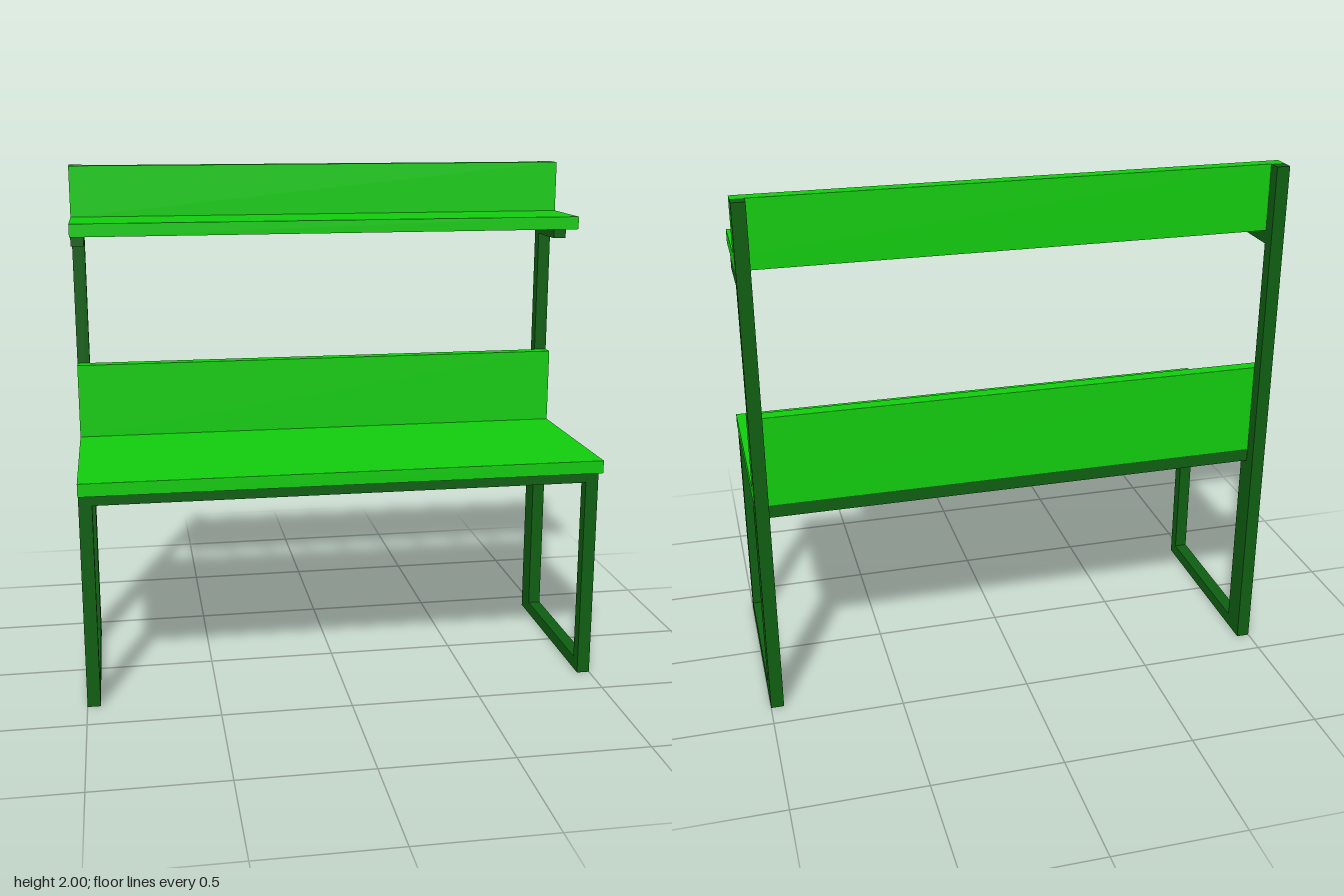
import * as THREE from 'three';

export function createModel() {
  const model = new THREE.Group();
  model.name = 'workbench';
  const panel = new THREE.MeshStandardMaterial({ color: 0x12cc0e });
  const frame = new THREE.MeshStandardMaterial({ color: 0x0f5f12 });
  const T = 0.05; // thickness of every board and tube

  // Box given by its limits on each axis
  const bar = (parent, name, material, [x0, x1], [y0, y1], [z0, z1]) => {
    const mesh = new THREE.Mesh(new THREE.BoxGeometry(x1 - x0, y1 - y0, z1 - z0), material);
    mesh.position.set((x0 + x1) / 2, (y0 + y1) / 2, (z0 + z1) / 2);
    mesh.name = name;
    parent.add(mesh);
  };

  // Boards: worktop and upper shelf, each with an upright back board
  const full = [-1, 1];
  bar(model, 'worktop', panel, full, [0.85, 0.9], [-0.35, 0.4]);
  bar(model, 'worktopBackboard', panel, full, [0.9, 1.2], [-0.35, -0.3]);
  bar(model, 'shelf', panel, full, [1.75, 1.8], [-0.35, 0]);
  bar(model, 'shelfBackboard', panel, full, [1.8, 2], [-0.35, -0.3]);

  // Rails under the worktop, between the legs
  const inner = [-1 + T, 1 - T];
  bar(model, 'frontRail', frame, inner, [0.8, 0.85], [0.3, 0.35]);
  bar(model, 'rearRail', frame, inner, [0.8, 0.85], [-0.35, -0.3]);

  // Side frames: legs, floor bar, tall post and shelf bracket
  for (const [side, x] of [['left', [1 - T, 1]], ['right', [-1, -1 + T]]]) {
    const group = new THREE.Group();
    group.name = side + 'SideFrame';
    bar(group, 'frontLeg', frame, x, [0, 0.85], [0.3, 0.35]);
    bar(group, 'rearLeg', frame, x, [0, 0.85], [-0.35, -0.3]);
    bar(group, 'floorBar', frame, x, [0, T], [-0.3, 0.3]);
    bar(group, 'post', frame, x, [0, 2], [-0.4, -0.35]);
    bar(group, 'shelfBracket', frame, x, [1.7, 1.75], [-0.35, -0.15]);
    model.add(group);
  }
  return model;
}
